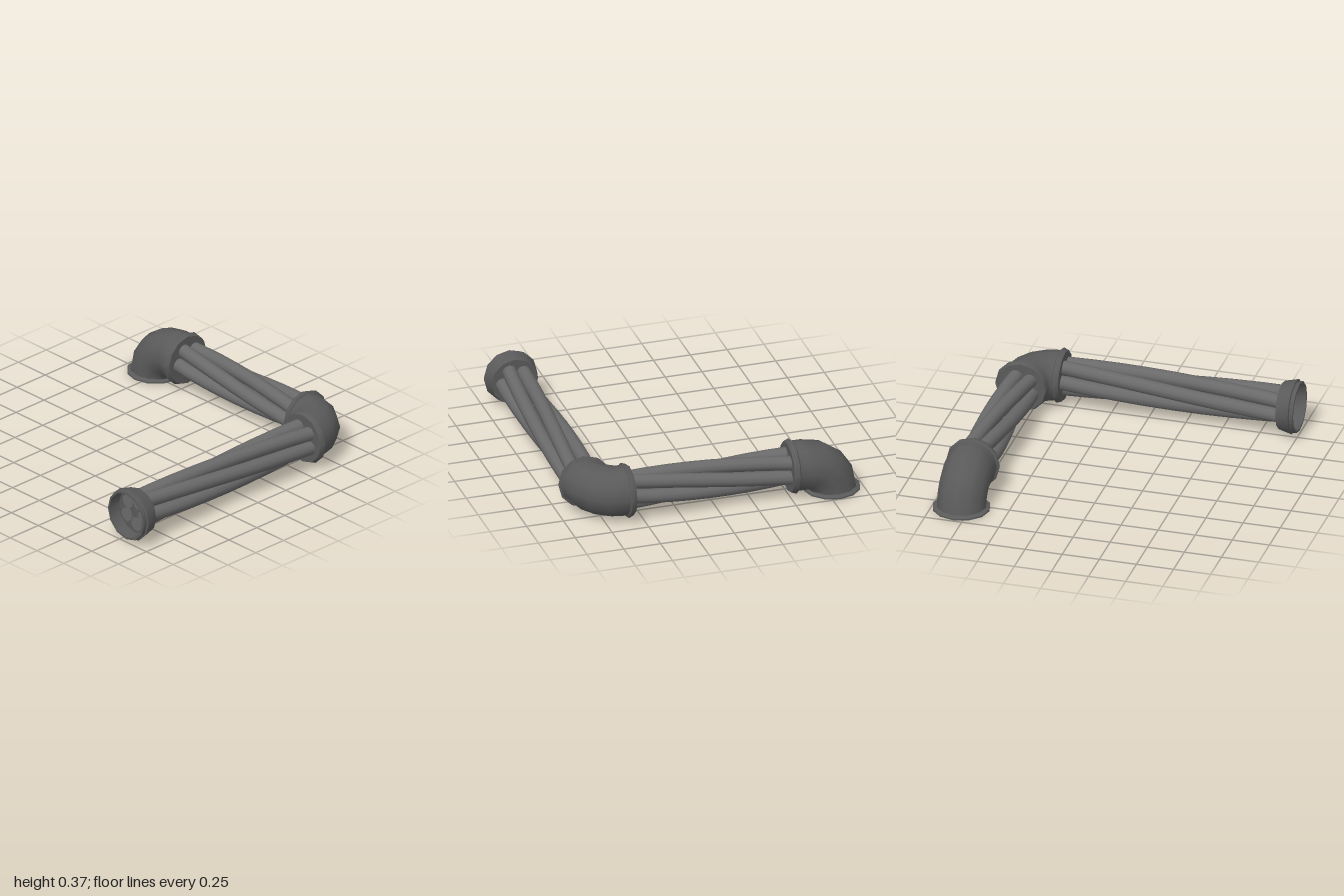
import * as THREE from 'three';
import { toCreasedNormals } from 'three/addons/utils/BufferGeometryUtils.js';

const SIDES = 12;
const AXIS_Y = 0.19; // height of the pipe run
const LINE = 0.81; // offset of both runs from the centre
const PIPE_R = 0.165;

const castMat = new THREE.MeshStandardMaterial({ color: 0x5a5a5a, side: THREE.DoubleSide });
const cableMat = new THREE.MeshStandardMaterial({ color: 0x6a6a6a });

function addMesh(parent, name, geometry, material, crease = 0.6) {
  const mesh = new THREE.Mesh(toCreasedNormals(geometry, crease), material);
  mesh.name = name;
  parent.add(mesh);
  return mesh;
}

// Turned part whose axis runs from a position along a direction
function addTurned(parent, name, profile, position, direction) {
  const points = profile.map(([r, h]) => new THREE.Vector2(r, h));
  const mesh = addMesh(parent, name, new THREE.LatheGeometry(points, SIDES), castMat);
  mesh.position.set(...position);
  mesh.quaternion.setFromUnitVectors(new THREE.Vector3(0, 1, 0), new THREE.Vector3(...direction));
}

// Five cables twisted round a common axis (local y)
function makeBundle(name, length, middlePhase) {
  const bundle = new THREE.Group();
  bundle.name = name;
  const count = 5, ringR = 0.083, twist = 1.7;
  for (let i = 0; i < count; i++) {
    const geometry = new THREE.CylinderGeometry(0.048, 0.048, length, 10, 8);
    const p = geometry.attributes.position;
    for (let v = 0; v < p.count; v++) {
      const a = middlePhase + (i / count) * Math.PI * 2 - (p.getY(v) / length) * twist;
      p.setX(v, p.getX(v) + ringR * Math.cos(a));
      p.setZ(v, p.getZ(v) + ringR * Math.sin(a));
    }
    addMesh(bundle, 'cable', geometry, cableMat, 0.9);
  }
  return bundle;
}

// Quarter bend
function elbowGeometry(bendR) {
  return new THREE.TorusGeometry(bendR, PIPE_R, SIDES, 4, Math.PI / 2);
}

export function createModel() {
  const model = new THREE.Group();
  model.name = 'cableConduit';

  // Twisted cable runs
  const backRun = makeBundle('backCableBundle', 1.11, Math.PI);
  backRun.rotation.z = -Math.PI / 2;
  backRun.position.set(0.035, AXIS_Y, -LINE);
  const sideZ0 = -0.6, sideZ1 = 0.924;
  const sideRun = makeBundle('sideCableBundle', sideZ1 - sideZ0, -Math.PI / 2);
  sideRun.rotation.x = Math.PI / 2;
  sideRun.position.set(LINE, AXIS_Y, (sideZ0 + sideZ1) / 2);
  model.add(backRun, sideRun);

  // Corner elbow joining the two runs
  const corner = addMesh(model, 'cornerElbow', elbowGeometry(0.21), castMat, 1);
  corner.rotation.x = -Math.PI / 2;
  corner.position.set(0.6, AXIS_Y, -0.6);

  // Elbow turning down to the ground, with its straight sleeve
  const down = addMesh(model, 'groundElbow', elbowGeometry(0.19), castMat, 1);
  down.rotation.y = Math.PI;
  down.position.set(-0.61, 0, -LINE);
  const sleeve = addMesh(model, 'elbowSleeve',
    new THREE.CylinderGeometry(PIPE_R, PIPE_R, 0.08, SIDES, 1, true), castMat);
  sleeve.rotation.z = Math.PI / 2;
  sleeve.position.set(-0.57, AXIS_Y, -LINE);

  // Collars where the cables enter the elbows
  const collar = [[0, 0], [0.168, 0], [0.18, 0.03], [0.18, 0.036], [PIPE_R, 0.044]];
  addTurned(model, 'collar', collar, [0.57, AXIS_Y, -LINE], [1, 0, 0]);
  addTurned(model, 'collar', collar, [-0.5, AXIS_Y, -LINE], [-1, 0, 0]);
  addTurned(model, 'collar', collar, [LINE, AXIS_Y, -0.58], [0, 0, -1]);

  // Foot flange on the ground
  addTurned(model, 'footFlange', [[0, 0], [0.19, 0], [0.19, 0.01], [PIPE_R, 0.022]],
    [-0.8, 0, -LINE], [0, 1, 0]);

  // Flared end cap, hollow at the front
  addTurned(model, 'endCap', [[0, 0], [0.158, 0], [0.181, 0.09], [0.17, 0.095], [0.17, 0.12],
    [0.157, 0.12], [0.15, 0.04], [0, 0.04]], [LINE, AXIS_Y, 0.88], [0, 0, 1]);

  return model;
}
